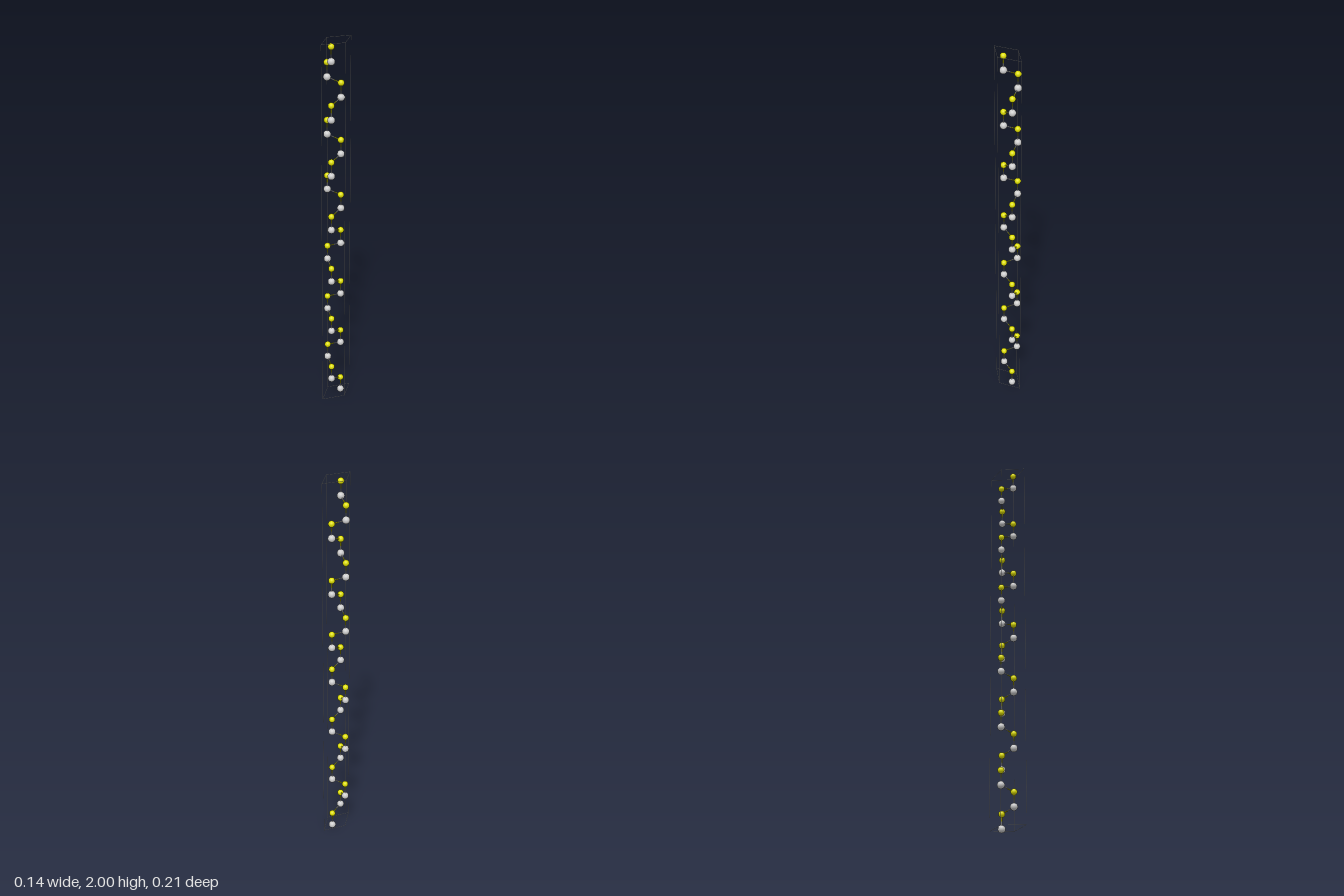
import * as THREE from 'three';

export function createModel() {
  const model = new THREE.Group();
  const grey = new THREE.MeshStandardMaterial({ color: 0xcccccc });
  const yellow = new THREE.MeshStandardMaterial({ color: 0xdddd00 });

  // Stacking columns and layer spacing
  const X = 0.009, S = 0.035, W = S * Math.sqrt(3);
  const columns = { A: [X, -S], B: [X, S], C: [X - W, 0] };
  const stacking = 'ABCABCABCABACBACBACB';
  const base = 0.019, top = 1.999, step = (top - base) / stacking.length;
  const up = new THREE.Vector3(0, 1, 0);

  const greyBall = new THREE.SphereGeometry(0.019, 24, 16);
  const yellowBall = new THREE.SphereGeometry(0.0165, 24, 16);

  function ball(name, geometry, material, p) {
    const mesh = new THREE.Mesh(geometry, material);
    mesh.name = name;
    mesh.position.copy(p);
    model.add(mesh);
  }

  // Cylinder between two points
  function rod(name, a, b, radius, material, sides) {
    const length = a.distanceTo(b);
    const mesh = new THREE.Mesh(new THREE.CylinderGeometry(radius, radius, length, sides), material);
    mesh.name = name;
    mesh.position.copy(a).lerp(b, 0.5);
    mesh.quaternion.setFromUnitVectors(up, b.clone().sub(a).normalize());
    model.add(mesh);
  }

  // Bond in two halves, each coloured like the atom it touches
  function bond(greyEnd, yellowEnd) {
    const middle = greyEnd.clone().lerp(yellowEnd, 0.5);
    rod('greyBondHalf', greyEnd, middle, 0.0027, grey, 10);
    rod('yellowBondHalf', middle, yellowEnd, 0.0027, yellow, 10);
  }

  // Zigzag chain of atom pairs
  let previousYellow = null;
  [...stacking].forEach((letter, i) => {
    const [x, z] = columns[letter];
    const g = new THREE.Vector3(x, base + i * step, z);
    const y = new THREE.Vector3(x, base + (i + 0.75) * step, z);
    ball('greyAtom', greyBall, grey, g);
    ball('yellowAtom', yellowBall, yellow, y);
    bond(g, y);
    if (previousYellow) bond(g, previousYellow);
    previousYellow = y;
  });

  // Rhombic frame of the unit cell
  const corners = [[X - W, 0], [X, 3 * S], [X + W, 0], [X, -3 * S]];
  corners.forEach(([x, z], i) => {
    const [nx, nz] = corners[(i + 1) % 4];
    rod('cellUpright', new THREE.Vector3(x, base, z), new THREE.Vector3(x, top, z), 0.001, grey, 6);
    for (const y of [base, top]) {
      rod('cellEdge', new THREE.Vector3(x, y, z), new THREE.Vector3(nx, y, nz), 0.001, grey, 6);
    }
  });

  return model;
}
